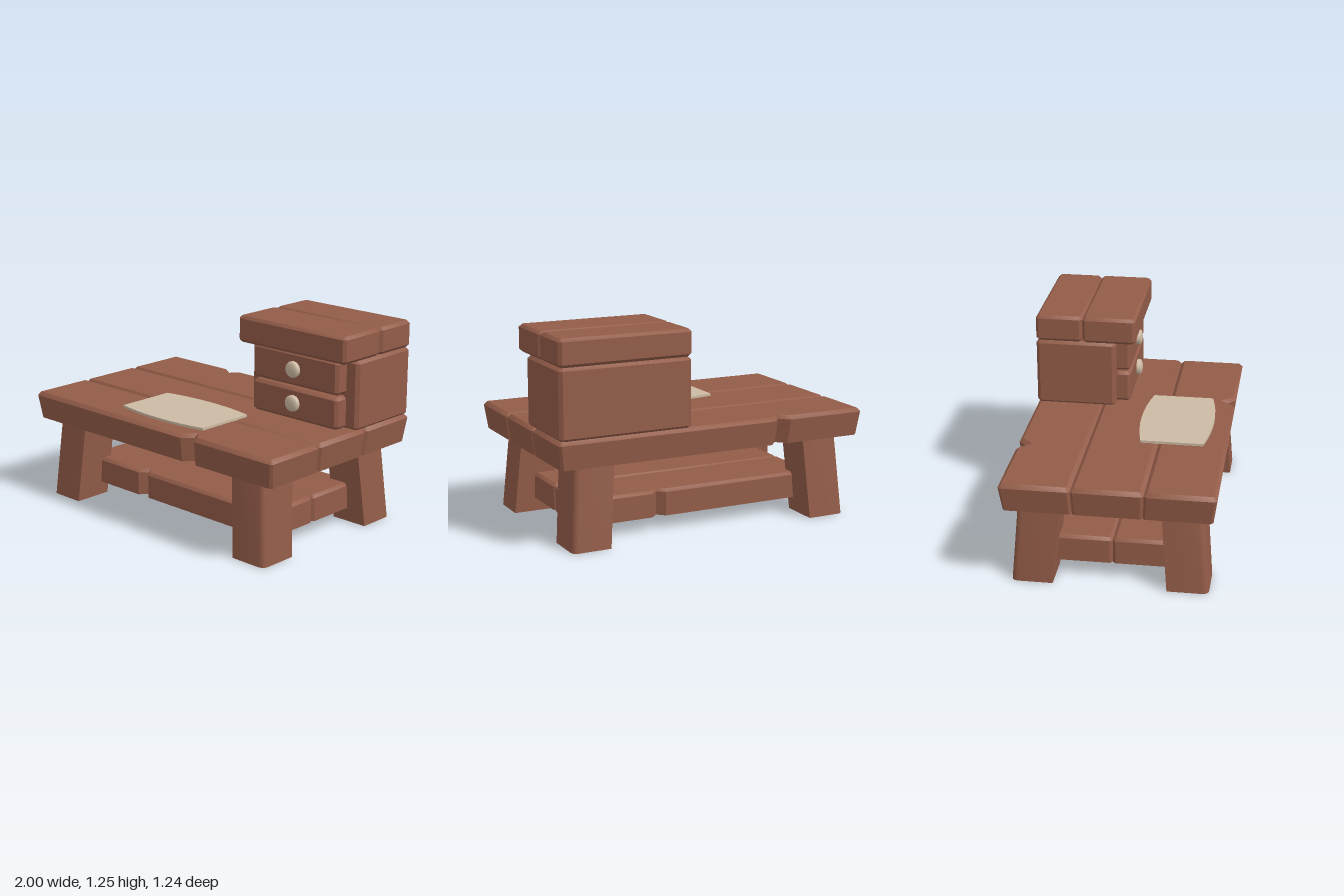
import * as THREE from 'three';
import { toCreasedNormals } from 'three/addons/utils/BufferGeometryUtils.js';

const wood = new THREE.MeshStandardMaterial({ color: 0x935c48 });
wood.name = 'reddish wood';
const cream = new THREE.MeshStandardMaterial({ color: 0xccbaa3 });
cream.name = 'cream';

// Counter-clockwise copy of an [x, z] outline
function oriented(points) {
  const area = points.reduce((sum, p, i) => {
    const q = points[(i + 1) % points.length];
    return sum + p[0] * q[1] - q[0] * p[1];
  }, 0);
  return area < 0 ? [...points].reverse() : points;
}

// Move every edge of an outline inward by d
function inset(points, d) {
  const n = points.length;
  const normal = (a, b) => {
    const l = Math.hypot(b[0] - a[0], b[1] - a[1]);
    return [-(b[1] - a[1]) / l, (b[0] - a[0]) / l];
  };
  return points.map((p, i) => {
    const a = normal(points[(i + n - 1) % n], p);
    const b = normal(p, points[(i + 1) % n]);
    const k = d / (1 + a[0] * b[0] + a[1] * b[1]);
    return [p[0] + (a[0] + b[0]) * k, p[1] + (a[1] + b[1]) * k];
  });
}

// Solid through stacked rings { y, points }, closed at both ends
function loft(rings) {
  const pos = [];
  const put = (ring, i) => pos.push(ring.points[i][0], ring.y, ring.points[i][1]);
  const n = rings[0].points.length;
  for (let r = 0; r < rings.length - 1; r++) {
    const lo = rings[r], hi = rings[r + 1];
    for (let i = 0; i < n; i++) {
      const j = (i + 1) % n;
      put(lo, i); put(hi, i); put(hi, j);
      put(lo, i); put(hi, j); put(lo, j);
    }
  }
  for (const [ring, up] of [[rings[0], false], [rings[rings.length - 1], true]]) {
    const flat = ring.points.map(p => new THREE.Vector2(p[0], p[1]));
    for (const [a, b, c] of THREE.ShapeUtils.triangulateShape(flat, [])) {
      const turn = flat[b].clone().sub(flat[a]).cross(flat[c].clone().sub(flat[a]));
      const order = (turn > 0) === up ? [a, c, b] : [a, b, c];
      order.forEach(i => put(ring, i));
    }
  }
  const geometry = new THREE.BufferGeometry();
  geometry.setAttribute('position', new THREE.Float32BufferAttribute(pos, 3));
  return toCreasedNormals(geometry, 0.6);
}

// Rectangle with cut corners and an optional V notch { x, side, width, depth }
function boardOutline(x0, x1, z0, z1, cut, notch) {
  const points = [[x0 + cut, z0], [x1 - cut, z0], [x1, z0 + cut], [x1, z1 - cut],
    [x1 - cut, z1], [x0 + cut, z1], [x0, z1 - cut], [x0, z0 + cut]];
  if (notch) {
    const { x, side, width: w, depth } = notch;
    const z = side > 0 ? z1 : z0;
    points.splice(side > 0 ? 5 : 1, 0, [x + side * w, z], [x, z - side * depth], [x - side * w, z]);
  }
  return oriented(points);
}

// Board with bevelled top edges and, if wanted, bevelled bottom edges
function board(outline, y0, y1, bevel, bottomBevel = 0) {
  const rings = [{ y: y0, points: inset(outline, bottomBevel) }];
  if (bottomBevel) rings.push({ y: y0 + bottomBevel, points: outline });
  rings.push({ y: y1 - bevel, points: outline }, { y: y1, points: inset(outline, bevel) });
  return rings;
}

export function createModel() {
  const model = new THREE.Group();
  model.name = 'workDesk';
  const add = (name, geometry, material) => {
    const mesh = new THREE.Mesh(geometry, material);
    mesh.name = name;
    model.add(mesh);
    return mesh;
  };

  // Tabletop: three planks whose outer faces lean inward at the bottom
  const planks = [
    ['frontTopPlank', 0.21, 0.622, { x: 0.35, side: 1, width: 0.055, depth: 0.06 }],
    ['middleTopPlank', -0.208, 0.208, null],
    ['backTopPlank', -0.622, -0.21, { x: -0.44, side: -1, width: 0.055, depth: 0.06 }],
  ];
  for (const [name, z0, z1, notch] of planks) {
    const rings = board(boardOutline(-1, 1, z0, z1, 0.015, notch), 0.5, 0.67, 0.022);
    rings[0].points = rings[0].points.map(([x, z]) => [x * 0.981, z * 0.967]);
    add(name, loft(rings), wood);
  }

  // Splayed legs with a rounded outer corner
  for (const sx of [-1, 1]) {
    for (const sz of [-1, 1]) {
      const section = shift => {
        const x0 = 0.63 + shift, x1 = 0.87 + shift, z0 = 0.295 + shift, z1 = 0.54 + shift, r = 0.035;
        const points = [[x0, z0], [x1, z0]];
        for (let i = 0; i <= 3; i++) {
          const a = i * Math.PI / 6;
          points.push([x1 - r + r * Math.cos(a), z1 - r + r * Math.sin(a)]);
        }
        points.push([x0, z1]);
        return oriented(points.map(([x, z]) => [x * sx, z * sz]));
      };
      add((sz > 0 ? 'front' : 'back') + (sx > 0 ? 'Left' : 'Right') + 'Leg',
        loft([{ y: 0, points: section(0.04) }, { y: 0.502, points: section(0) }]), wood);
    }
  }

  // Lower shelf: two boards, each notched on its outer edge
  for (const s of [1, -1]) {
    const notch = { x: -0.27 * s, side: s, width: 0.045, depth: 0.045 };
    const outline = boardOutline(-0.78, 0.78, s > 0 ? 0.002 : -0.39, s > 0 ? 0.39 : -0.002, 0.015, notch);
    add(s > 0 ? 'frontShelfBoard' : 'backShelfBoard', loft(board(outline, 0.087, 0.25, 0.018)), wood);
  }

  // Cabinet body and its two-board lid
  add('cabinetBody', loft(board(boardOutline(0.17, 0.993, -0.622, -0.125, 0.02), 0.67, 1.086, 0.018, 0.014)), wood);
  add('frontLidBoard', loft(board(boardOutline(0.165, 0.993, -0.33, 0, 0.018), 1.086, 1.25, 0.018, 0.018)), wood);
  add('backLidBoard', loft(board(boardOutline(0.17, 0.993, -0.622, -0.332, 0.018), 1.086, 1.25, 0.018, 0.018)), wood);

  // Drawers with domed round knobs
  const knobProfile = [[0.05, 0], [0.05, 0.022], [0.043, 0.031], [0.025, 0.037], [0, 0.039]]
    .map(([r, y]) => new THREE.Vector2(r, y));
  for (const [name, y0, y1, knobY] of [['lower', 0.672, 0.868, 0.775], ['upper', 0.88, 1.086, 0.983]]) {
    add(name + 'Drawer', loft(board(boardOutline(0.25, 0.91, -0.16, -0.04, 0.018), y0, y1, 0.018, 0.018)), wood);
    const knob = add(name + 'Knob', new THREE.LatheGeometry(knobProfile, 12), cream);
    knob.rotation.x = Math.PI / 2;
    knob.position.set(0.58, knobY, -0.043);
  }

  // Paper sheet with bowed front and back edges
  const sheet = [];
  for (const s of [1, -1]) {
    for (let i = 0; i <= 8; i++) {
      const t = i / 4 - 1;
      sheet.push([-0.34 * t * s, 0.292 + s * (0.188 + 0.037 * (1 - t * t))]);
    }
  }
  const sheetOutline = oriented(sheet);
  add('paperSheet', loft([{ y: 0.668, points: sheetOutline }, { y: 0.685, points: sheetOutline }]), cream);

  return model;
}
